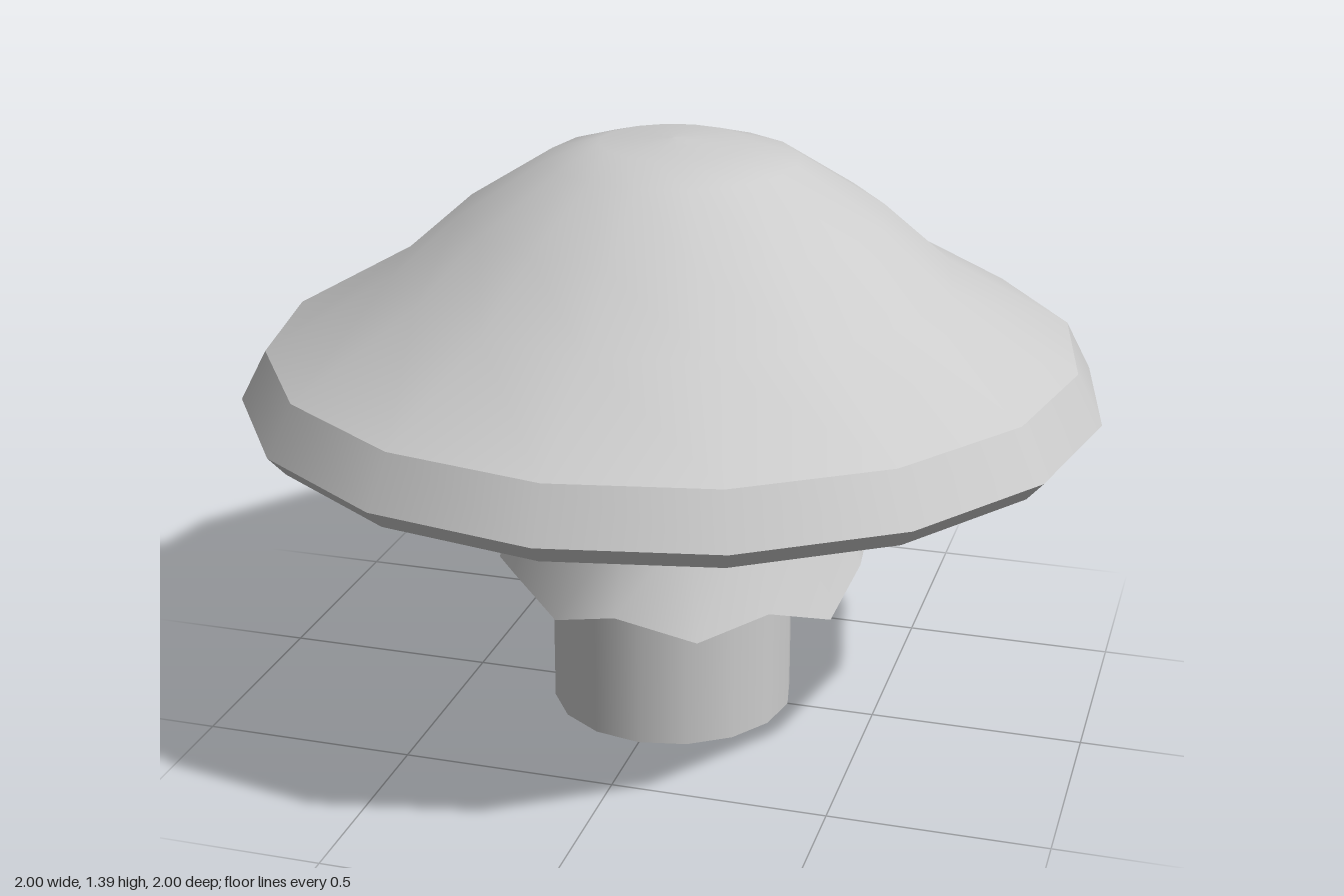
import * as THREE from 'three';

const SIDES = 16;

export function createModel() {
  const group = new THREE.Group();
  group.name = 'mushroom';
  const clay = new THREE.MeshStandardMaterial({ color: 0xcccccc, side: THREE.DoubleSide });
  clay.name = 'pale grey';

  const add = (name, geometry, parent = group) => {
    const mesh = new THREE.Mesh(geometry, clay);
    mesh.name = name;
    parent.add(mesh);
    return mesh;
  };
  // Turned surface; profile runs so that the outside faces out
  const turn = (profile) =>
    new THREE.LatheGeometry(profile.map(([r, y]) => new THREE.Vector2(r, y)), SIDES);

  // Cap: separate bands keep the rim edges sharp
  const cap = new THREE.Group();
  cap.name = 'cap';
  group.add(cap);
  add('capDome', turn([[0.94, 0.915], [0.65, 1.08], [0.49, 1.22], [0.29, 1.345], [0.17, 1.38], [0, 1.39]]), cap);
  add('capUpperRim', turn([[1, 0.8], [0.94, 0.915]]), cap);
  add('capLowerRim', turn([[0.96, 0.755], [1, 0.8]]), cap);
  add('capUnderside', turn([[0, 0.73], [0.66, 0.73], [0.96, 0.755]]), cap);

  // Stem: open tube
  const stem = add('stem', new THREE.CylinderGeometry(0.29, 0.29, 0.76, SIDES, 1, true));
  stem.position.y = 0.38;

  // Skirt: flared collar with a ragged hem, [radius, height] by angle from +x towards +z
  const hem = [
    [0.46, 0.39], [0.465, 0.325], [0.45, 0.388], [0.49, 0.36],
    [0.47, 0.405], [0.43, 0.345], [0.424, 0.405], [0.417, 0.375],
    [0.415, 0.425], [0.43, 0.36], [0.435, 0.4], [0.44, 0.345],
    [0.45, 0.415], [0.48, 0.36], [0.453, 0.415], [0.47, 0.365],
  ];
  const positions = [];
  const index = [];
  for (let i = 0; i <= SIDES; i++) {
    const a = (i / SIDES) * Math.PI * 2;
    const flare = 0.365 + (hem[i % SIDES][0] - 0.45) * 0.25;
    for (const [r, y] of [hem[i % SIDES], [flare, 0.6], [0.335, 0.74]]) {
      positions.push(r * Math.cos(a), y, r * Math.sin(a));
    }
    if (i === SIDES) break;
    for (let j = 0; j < 2; j++) {
      const p = i * 3 + j;
      index.push(p, p + 1, p + 3, p + 1, p + 4, p + 3);
    }
  }
  const skirt = new THREE.BufferGeometry();
  skirt.setAttribute('position', new THREE.Float32BufferAttribute(positions, 3));
  skirt.setIndex(index);
  skirt.computeVertexNormals();
  // Blend the normals across the closing seam
  const n = skirt.attributes.normal;
  for (let j = 0; j < 3; j++) {
    const k = SIDES * 3 + j;
    const v = new THREE.Vector3().fromBufferAttribute(n, j)
      .add(new THREE.Vector3().fromBufferAttribute(n, k)).normalize();
    n.setXYZ(j, v.x, v.y, v.z);
    n.setXYZ(k, v.x, v.y, v.z);
  }
  add('skirt', skirt);

  return group;
}
